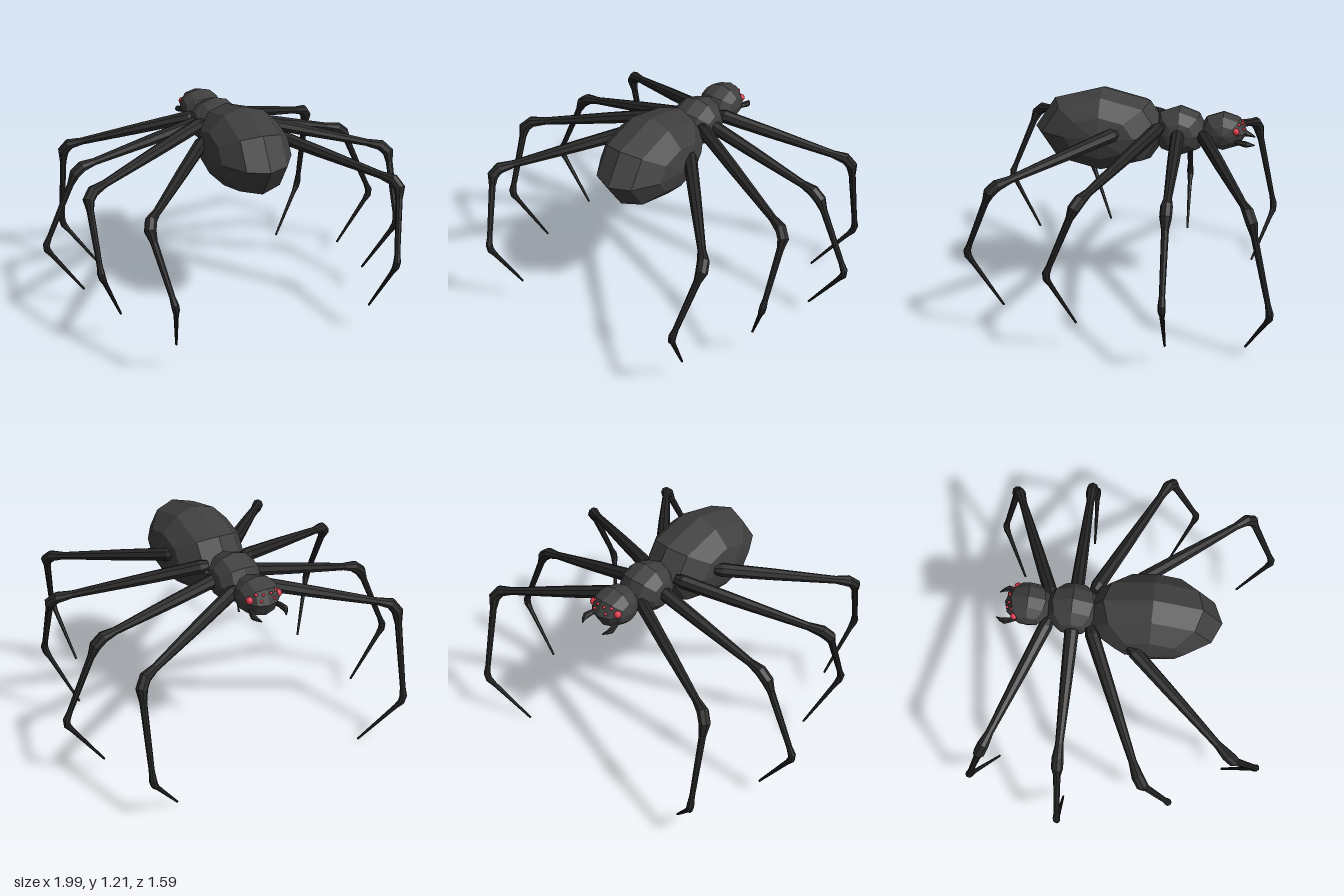
import * as THREE from 'three';

const bodyMat = new THREE.MeshStandardMaterial({ color: 0x3f3f3f, flatShading: true });
const legMat = new THREE.MeshStandardMaterial({ color: 0x252525, flatShading: true });
const eyeMat = new THREE.MeshStandardMaterial({ color: 0xd8384a });

const BODY_X = 0.008; // the body sits slightly off the leg centreline
const V = (x, y, z) => new THREE.Vector3(x, y, z);

// Low-poly ellipsoid with its poles on the x axis
function ellipsoid(name, center, radii) {
  const geo = new THREE.SphereGeometry(1, 8, 6).rotateZ(Math.PI / 2).scale(...radii);
  const mesh = new THREE.Mesh(geo, bodyMat);
  mesh.name = name;
  mesh.position.set(...center);
  return mesh;
}

// Closed tube through stations [point, radius], one ring per station
function taperedTube(stations, sides) {
  const pos = [], idx = [], n = stations.length;
  const pts = stations.map(s => s[0]);
  const dir = pts.map((p, i) => pts[Math.min(i + 1, n - 1)].clone().sub(pts[Math.max(i - 1, 0)]).normalize());
  const u = V(0, 1, 0).cross(dir[0]).normalize();
  for (let i = 0; i < n; i++) {
    if (i) u.applyQuaternion(new THREE.Quaternion().setFromUnitVectors(dir[i - 1], dir[i]));
    const v = dir[i].clone().cross(u);
    for (let j = 0; j < sides; j++) {
      const a = (j / sides) * Math.PI * 2, r = stations[i][1];
      const p = pts[i].clone().addScaledVector(u, r * Math.cos(a)).addScaledVector(v, r * Math.sin(a));
      pos.push(p.x, p.y, p.z);
    }
  }
  for (let i = 0; i < n - 1; i++) for (let j = 0; j < sides; j++) {
    const a = i * sides + j, b = i * sides + (j + 1) % sides;
    idx.push(a, b, b + sides, a, b + sides, a + sides);
  }
  // end caps
  const last = (n - 1) * sides;
  for (let j = 1; j < sides - 1; j++) idx.push(0, j + 1, j, last, last + j, last + j + 1);
  const geo = new THREE.BufferGeometry();
  geo.setAttribute('position', new THREE.Float32BufferAttribute(pos, 3));
  geo.setIndex(idx);
  geo.computeVertexNormals();
  return geo;
}

// Leg with swollen knee and ankle joints
function legGeometry(root, knee, ankle, tip) {
  const on = (a, b, t, r) => [a.clone().lerp(b, t), r];
  return taperedTube([
    on(root, knee, 0, 0.025), on(root, knee, 0.05, 0.037), on(root, knee, 0.4, 0.032),
    on(root, knee, 0.86, 0.021), on(root, knee, 0.955, 0.031),
    on(knee, ankle, 0.07, 0.031), on(knee, ankle, 0.2, 0.019),
    on(knee, ankle, 0.86, 0.015), on(knee, ankle, 0.96, 0.02),
    on(ankle, tip, 0.05, 0.019), on(ankle, tip, 0.17, 0.013), on(ankle, tip, 1, 0.006),
  ], 8);
}

// root, knee, ankle and tip of each leg on the +x side
const LEGS = {
  frontLeg: [V(0.06, 0.985, -0.38), V(0.75, 0.805, -0.662), V(0.755, 0.272, -0.778), V(0.56, 0.005, -0.655)],
  secondLeg: [V(0.08, 1.0, -0.257), V(0.785, 0.832, -0.257), V(0.985, 0.395, -0.257), V(0.78, 0.1, -0.257)],
  thirdLeg: [V(0.1, 1.03, -0.165), V(0.85, 0.87, 0.172), V(0.842, 0.48, 0.332), V(0.71, 0.17, 0.202)],
  hindLeg: [V(0.18, 1.015, 0.05), V(0.68, 0.87, 0.622), V(0.603, 0.48, 0.781), V(0.545, 0.17, 0.607)],
};

// centre and radius of each eye on the +x side
const EYES = [
  [0.083, 1.012, -0.56, 0.02],
  [0.056, 1.043, -0.574, 0.009],
  [0.022, 1.043, -0.592, 0.008],
  [0.038, 1.015, -0.601, 0.008],
];

export function createModel() {
  const model = new THREE.Group();
  model.name = 'spider';

  // Body sections
  model.add(
    ellipsoid('abdomen', [BODY_X, 0.984, 0.15], [0.222, 0.227, 0.362]),
    ellipsoid('thorax', [BODY_X, 0.986, -0.262], [0.135, 0.137, 0.152]),
    ellipsoid('head', [BODY_X, 0.992, -0.492], [0.114, 0.104, 0.128]),
  );

  for (const s of [1, -1]) {
    const side = s > 0 ? 'left' : 'right';
    const flip = p => V(p.x * s, p.y, p.z);
    const onHead = (x, y, z) => V(BODY_X + x * s, y, z);

    // Legs
    for (const [name, points] of Object.entries(LEGS)) {
      const leg = new THREE.Mesh(legGeometry(...points.map(flip)), legMat);
      leg.name = `${side} ${name}`;
      model.add(leg);
    }

    // Curved fang
    const fang = new THREE.Mesh(taperedTube([
      [onHead(0.065, 0.957, -0.54), 0.012], [onHead(0.083, 0.953, -0.58), 0.014],
      [onHead(0.091, 0.948, -0.615), 0.017], [onHead(0.084, 0.944, -0.635), 0.011],
      [onHead(0.07, 0.938, -0.66), 0.003],
    ], 6), legMat);
    fang.name = `${side} fang`;
    model.add(fang);

    // Eyes
    for (const [x, y, z, r] of EYES) {
      const eye = new THREE.Mesh(new THREE.SphereGeometry(r, 10, 8), eyeMat);
      eye.name = `${side} eye`;
      eye.position.copy(onHead(x, y, z));
      model.add(eye);
    }
  }
  return model;
}
